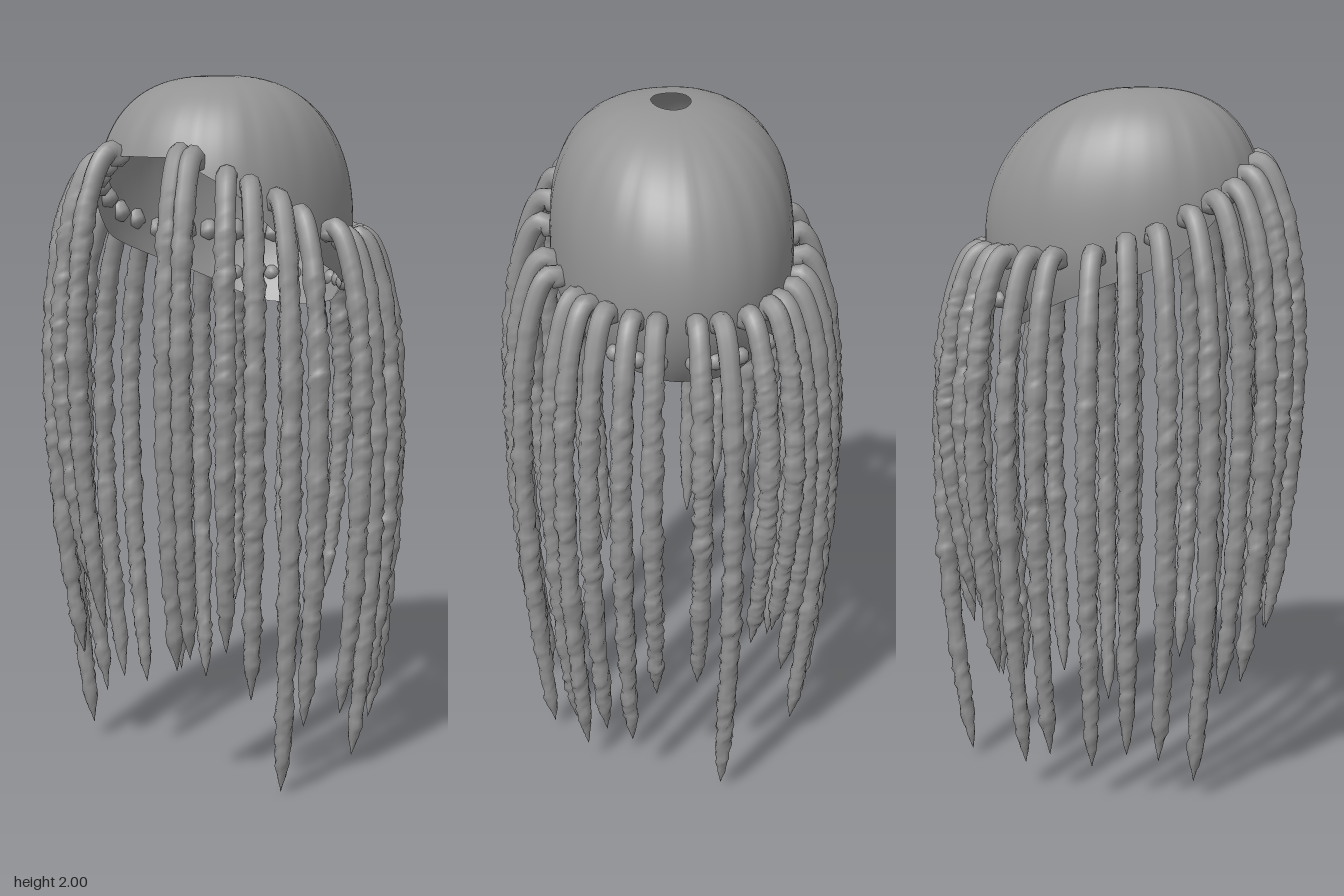
import * as THREE from 'three';
import { mergeVertices } from 'three/addons/utils/BufferGeometryUtils.js';

const material = new THREE.MeshStandardMaterial({ color: 0x939393, side: THREE.DoubleSide });

// Piecewise linear lookup in a list of [input, output] pairs
function lookup(table, v) {
  if (v <= table[0][0]) return table[0][1];
  for (let i = 1; i < table.length; i++) {
    const [a, p] = table[i - 1], [b, q] = table[i];
    if (v <= b) return p + (q - p) * (v - a) / (b - a);
  }
  return table[table.length - 1][1];
}

// Repeatable value in -1..1
function hash(a, b, c) {
  const s = Math.sin(a * 12.99 + b * 78.23 + c * 37.72) * 43758.55;
  return 2 * (s - Math.floor(s)) - 1;
}

// Rim height of the cap by angle from the front
const RIM = [[0, 1.78], [0.3, 1.78], [0.8, 1.69], [1.27, 1.54], [1.7, 1.47], [2.1, 1.41], [2.5, 1.345], [2.8, 1.32], [3.15, 1.315]];
const CENTRE_Z = 0.05, EQUATOR = 1.57, HEIGHT = 0.43;

// Egg-shaped dome, open at the crown, with a rim that drops from brow to nape
function capGeometry() {
  const cols = 96, rows = 28, pos = [], index = [];
  for (let i = 0; i <= rows; i++) {
    for (let j = 0; j < cols; j++) {
      const a = (j / cols) * Math.PI * 2;
      const sx = Math.sin(a), cz = Math.cos(a);
      const n = cz > -0.1 ? 2.7 : 2.7 - 0.6 * (-cz - 0.1) / 0.9;
      const rim = (lookup(RIM, Math.min(a, Math.PI * 2 - a)) - EQUATOR) / HEIGHT;
      const end = Math.acos(rim > 0 ? rim ** (n / 2) : rim);
      const start = Math.asin(0.16 ** (n / 2));
      const phi = start + (end - start) * i / rows;
      const c = Math.cos(phi), s = Math.sin(phi);
      const y = c > 0 ? c ** (2 / n) : c;
      const r = c > 0 ? s ** (2 / n) : s;
      const m = cz > 0 ? 0.9 : 1; // slightly squarer towards the brow
      // shallow combed grooves running down from the crown
      const comb = 1 + 0.004 * Math.sin(2 * phi) * (Math.sin(a * 17) + Math.sin(a * 29 + 1));
      const x = 0.34 * Math.sign(sx) * Math.abs(sx) ** m * comb;
      const z = (cz > 0 ? 0.37 : 0.44) * Math.sign(cz) * Math.abs(cz) ** m * comb;
      pos.push(x * r, EQUATOR + HEIGHT * y, CENTRE_Z + z * r);
      if (i < rows) {
        const p = i * cols + j, q = i * cols + (j + 1) % cols;
        index.push(p, p + cols, q, q, p + cols, q + cols);
      }
    }
  }
  const g = new THREE.BufferGeometry();
  g.setAttribute('position', new THREE.Float32BufferAttribute(pos, 3));
  g.setIndex(index);
  g.computeVertexNormals();
  return g;
}

// Lumpy tapering lock: a unit tube whose rings are rescaled by a rule
function lockGeometry(x, z, top, tip, seed) {
  const at = (s, y) => new THREE.Vector3(x * s, y, z * s);
  const span = top - tip;
  const curve = new THREE.CatmullRomCurve3([
    at(0.68, top - 0.05), at(0.73, top - 0.005), at(0.79, top - 0.02), at(0.88, top - 0.13),
    at(0.935, top - 0.3), at(0.96, top - 0.3 - span * 0.17), at(0.935, top - span * 0.64),
    at(0.88, top - span * 0.84), at(0.82, tip),
  ]);
  const N = 100, R = 9;
  const g = new THREE.TubeGeometry(curve, N, 1, R);
  const p = g.attributes.position, v = new THREE.Vector3();
  const length = curve.getLength();
  for (let i = 0; i <= N; i++) {
    const t = i / N, c = curve.getPointAt(t);
    const left = (1 - t) * length;
    const rough = Math.min(1, Math.max(0, (t - 0.08) * 6));
    let r = lookup([[0, 0], [0.05, 0.012], [0.1, 0.022], [0.25, 0.025], [0.6, 0.029]], left);
    if (i === 0) r = 0;
    const swell = 0.06 * Math.sin(i * 0.7 + seed * 2) + 0.05 * Math.sin(i * 0.31 + seed) + 0.05 * hash(i, 20, seed);
    for (let j = 0; j <= R; j++) {
      const k = i * (R + 1) + j;
      const bump = 1 + rough * (swell + 0.17 * hash(i, j % R, seed));
      v.fromBufferAttribute(p, k).sub(c).multiplyScalar(r * bump).add(c);
      p.setXYZ(k, v.x, v.y, v.z);
    }
  }
  g.deleteAttribute('uv');
  g.deleteAttribute('normal');
  const merged = mergeVertices(g, 1e-5);
  merged.computeVertexNormals();
  return merged;
}

// Each lock: outermost x, outermost z, height of the tip
const LOCKS = [
  [-0.16, 0.53, 0.44], [-0.26, 0.49, 0.55], [-0.34, 0.44, 0.32], [-0.40, 0.37, 0.30],
  [-0.44, 0.28, 0.05], [-0.48, 0.16, 0.12], [-0.49, 0.05, 0.14], [-0.48, -0.07, 0.10],
  [-0.43, -0.22, 0.12], [-0.38, -0.31, 0.08], [-0.31, -0.41, 0.33], [-0.26, -0.45, 0.50],
  [-0.17, -0.51, 0.50], [-0.06, -0.54, 0.02], [0.03, -0.54, 0.40], [0.17, -0.51, 0.36],
  [0.25, -0.46, 0.17], [0.33, -0.38, 0.17], [0.39, -0.31, 0.08], [0.42, -0.24, 0.14],
  [0.48, -0.07, 0.03], [0.49, 0.02, 0.18], [0.47, 0.21, 0.18], [0.44, 0.30, 0.00],
  [0.38, 0.39, 0.28], [0.32, 0.45, 0.42], [0.22, 0.52, 0.40], [0.17, 0.53, 0.36],
];
// Height of a lock's bend by its outermost z
const TOPS = [[-0.54, 1.545], [-0.2, 1.555], [-0.07, 1.565], [0.02, 1.59], [0.21, 1.635], [0.3, 1.68], [0.45, 1.74], [0.53, 1.80]];

export function createModel() {
  const model = new THREE.Group();
  model.name = 'lockedHair';

  const cap = new THREE.Mesh(capGeometry(), material);
  cap.name = 'cap';
  model.add(cap);

  const locks = new THREE.Group();
  locks.name = 'locks';
  LOCKS.forEach(([x, z, tip], i) => {
    const lock = new THREE.Mesh(lockGeometry(x, z, lookup(TOPS, z), tip, i + 1), material);
    lock.name = 'lock' + (i + 1);
    locks.add(lock);
  });
  model.add(locks);

  // Small root knots on the inside of the nape
  const roots = new THREE.Group();
  roots.name = 'rootKnots';
  const knot = new THREE.SphereGeometry(0.025, 12, 8);
  for (const [x, z] of LOCKS.filter((l) => l[1] < -0.35)) {
    const root = new THREE.Mesh(knot, material);
    root.name = 'rootKnot';
    root.position.set(x * 0.66, 1.4, z * 0.66);
    roots.add(root);
  }
  model.add(roots);
  return model;
}
